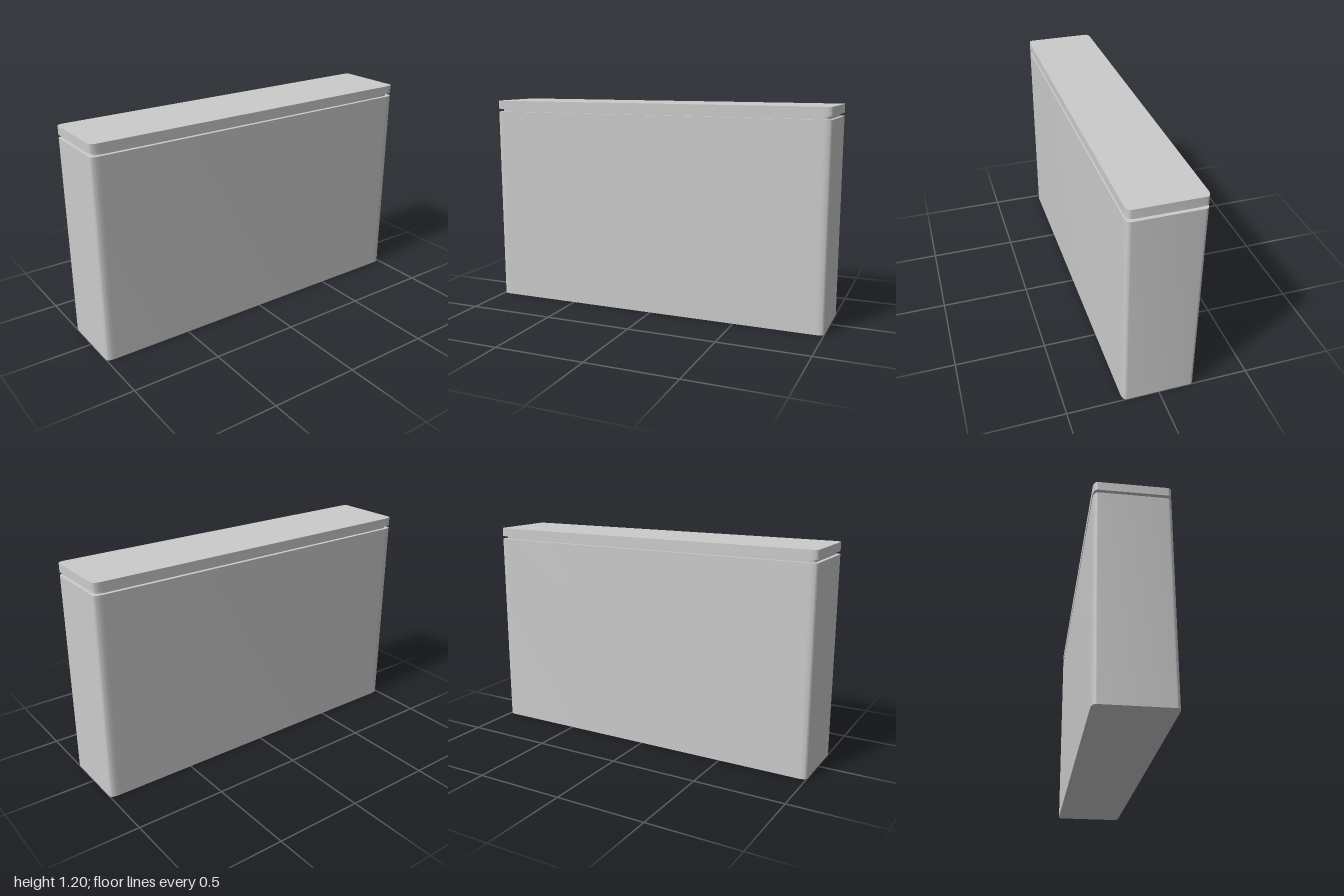
import * as THREE from 'three';
import { toCreasedNormals } from 'three/addons/utils/BufferGeometryUtils.js';

// Rectangle in plan with softly eased corners, longer along the depth
function plan(w, d, rx, rz) {
  const s = new THREE.Shape();
  s.moveTo(-w + rx, -d);
  s.lineTo(w - rx, -d);
  s.quadraticCurveTo(w, -d, w, -d + rz);
  s.lineTo(w, d - rz);
  s.quadraticCurveTo(w, d, w - rx, d);
  s.lineTo(-w + rx, d);
  s.quadraticCurveTo(-w, d, -w, d - rz);
  s.lineTo(-w, -d + rz);
  s.quadraticCurveTo(-w, -d, -w + rx, -d);
  return s;
}

export function createModel() {
  const group = new THREE.Group();
  const material = new THREE.MeshStandardMaterial({ color: 0xcccccc });

  // Upright slab between two heights, inset from the full outline
  function slab(name, y0, y1, inset) {
    const shape = plan(0.2 - inset, 1 - inset, 0.025, 0.05);
    const extruded = new THREE.ExtrudeGeometry(shape, { depth: y1 - y0, bevelEnabled: false, curveSegments: 10 });
    extruded.rotateX(-Math.PI / 2).translate(0, y0, 0);
    const mesh = new THREE.Mesh(toCreasedNormals(extruded, 0.6), material);
    mesh.name = name;
    group.add(mesh);
  }

  slab('body', 0, 1.135, 0);
  slab('recessedNeck', 1.135, 1.152, 0.02); // shadow gap under the top
  slab('topPanel', 1.152, 1.2, 0);
  return group;
}
